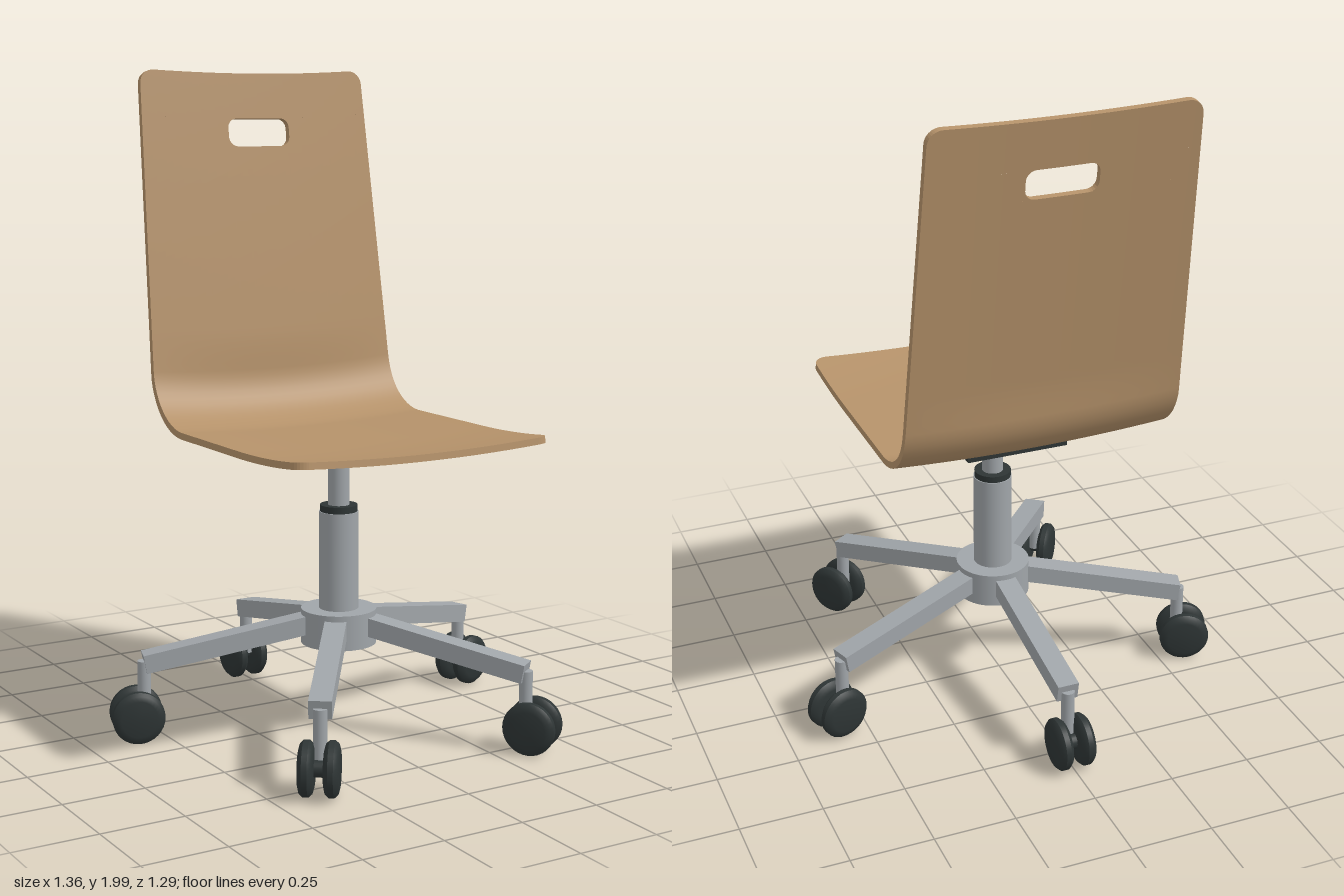
import * as THREE from 'three';
import { toCreasedNormals } from 'three/addons/utils/BufferGeometryUtils.js';

const mat = (name, color) => {
  const m = new THREE.MeshStandardMaterial({ color });
  m.name = name;
  return m;
};

const HALF_WIDTH = 0.425, TOP_WIDTH = 0.393, THICK = 0.02, CORNER = 0.045;
const TILT = THREE.MathUtils.degToRad(8.4);

// Side profile of the shell (z, y): front lip, flat seat, bend, straight back
function shellProfile() {
  const R = 0.2, v = (z, y) => new THREE.Vector2(z, y);
  const path = new THREE.CurvePath();
  path.add(new THREE.QuadraticBezierCurve(v(0.543, 0.931), v(0.38, 0.91), v(0.2, 0.91)));
  path.add(new THREE.LineCurve(v(0.2, 0.91), v(-0.15, 0.91)));
  path.add(new THREE.EllipseCurve(-0.15, 0.91 + R, R, R, Math.PI * 1.5, Math.PI + TILT, true));
  const end = v(-0.15 - R * Math.cos(TILT), 0.91 + R - R * Math.sin(TILT));
  path.add(new THREE.LineCurve(end, v(end.x - (1.998 - end.y) * Math.tan(TILT), 1.998)));
  return path;
}

function createShell(material) {
  const group = new THREE.Group();
  group.name = 'seatShell';
  const path = shellProfile(), total = path.getLength();
  const sOf = (y) => total - (1.998 - y) / Math.cos(TILT);

  // Middle surface, dished slightly across its width
  const surface = (x, s) => {
    const p = path.getPoint(THREE.MathUtils.clamp(s / total, 0, 1));
    const sag = 0.015 * (1 - (x / HALF_WIDTH) ** 2);
    return new THREE.Vector3(x, p.y - sag, p.x + sag * 0.87 * THREE.MathUtils.smoothstep(p.y, 0.95, 1.2));
  };
  const normal = (x, s) => {
    const e = 0.004;
    const dx = surface(x + e, s).sub(surface(x - e, s));
    const ds = surface(x, Math.min(s + e, total)).sub(surface(x, Math.max(s - e, 0)));
    return dx.cross(ds).normalize();
  };
  const round = (d, r) => (d >= r ? 0 : r - Math.sqrt(Math.max(0, r * r - (r - d) ** 2)));
  const taperStart = sOf(1.05);
  const width = (s) => {
    const t = Math.max(0, (s - taperStart) / (total - taperStart));
    return HALF_WIDTH + (TOP_WIDTH - HALF_WIDTH) * t - round(s, CORNER) - round(total - s, CORNER);
  };
  // Handle slot outline
  const h0 = sOf(1.772), h1 = sOf(1.858);
  const slot = (s) => 0.108 - round(Math.min(s - h0, h1 - s), 0.03);

  // Rows of s, closer together near both ends
  const rows = (a, b, n, ease) => Array.from({ length: n + 1 }, (_, i) => {
    const t = i / n;
    return a + (b - a) * (ease ? (1 - Math.cos(Math.PI * t)) / 2 : t);
  });

  // One solid patch between two side outlines
  function patch(name, sList, left, right, cols, endWalls) {
    const pos = [], nor = [];
    const tri = (list) => list.forEach(([p, n]) => { pos.push(...p.toArray()); nor.push(...n.toArray()); });
    const quad = (a, b, c, d) => tri([a, b, c, a, c, d]);
    const grid = sList.map((s) => Array.from({ length: cols + 1 }, (_, j) => {
      const x = left(s) + (right(s) - left(s)) * (j / cols);
      const n = normal(x, s), p = surface(x, s);
      return {
        up: [p.clone().addScaledVector(n, THICK / 2), n],
        down: [p.clone().addScaledVector(n, -THICK / 2), n.clone().negate()],
      };
    }));
    const wall = (a, b) => {
      const n = b.up[0].clone().sub(a.up[0]).cross(a.up[1]).normalize();
      quad([a.down[0], n], [b.down[0], n], [b.up[0], n], [a.up[0], n]);
    };
    const last = sList.length - 1;
    for (let i = 0; i < last; i++) {
      for (let j = 0; j < cols; j++) {
        const a = grid[i][j], b = grid[i][j + 1], c = grid[i + 1][j + 1], d = grid[i + 1][j];
        quad(a.up, b.up, c.up, d.up);
        quad(d.down, c.down, b.down, a.down);
      }
      wall(grid[i + 1][0], grid[i][0]);
      wall(grid[i][cols], grid[i + 1][cols]);
    }
    if (endWalls) for (let j = 0; j < cols; j++) {
      wall(grid[0][j], grid[0][j + 1]);
      wall(grid[last][j + 1], grid[last][j]);
    }
    const g = new THREE.BufferGeometry();
    g.setAttribute('position', new THREE.Float32BufferAttribute(pos, 3));
    g.setAttribute('normal', new THREE.Float32BufferAttribute(nor, 3));
    const mesh = new THREE.Mesh(g, material);
    mesh.name = name;
    group.add(mesh);
  }
  const neg = (f) => (s) => -f(s);
  const frontRows = rows(0, CORNER, 8).map((s) => s * s / CORNER);
  patch('seatAndBack', [...frontRows, ...rows(CORNER, h0, 70).slice(1)], neg(width), width, 16, true);
  patch('backBesideSlotRight', rows(h0, h1, 16, true), neg(width), neg(slot), 8, false);
  patch('backBesideSlotLeft', rows(h0, h1, 16, true), slot, width, 8, false);
  patch('backTop', rows(h1, total, 24, true), neg(width), width, 16, true);
  return group;
}

export function createModel() {
  const wood = mat('wood', 0xb5926a);
  const metal = mat('greyMetal', 0xa0a5a9);
  const dark = mat('darkPlastic', 0x2e3535);
  const model = new THREE.Group();
  model.name = 'swivelChair';
  model.add(createShell(wood));

  const add = (parent, name, geometry, material, x, y, z) => {
    const mesh = new THREE.Mesh(geometry, material);
    mesh.name = name;
    mesh.position.set(x, y, z);
    parent.add(mesh);
    return mesh;
  };
  const base = new THREE.Group();
  base.name = 'base';
  base.position.z = 0.053;
  model.add(base);

  // Upright parts, stacked from the hub to the mounting plate
  const upright = (name, r, y0, y1, m) =>
    add(base, name, new THREE.CylinderGeometry(r, r, y1 - y0, 40), m, 0, (y0 + y1) / 2, 0);
  upright('hub', 0.115, 0.268, 0.375, metal);
  upright('column', 0.06, 0.37, 0.675, metal);
  upright('collar', 0.057, 0.675, 0.695, dark);
  upright('piston', 0.033, 0.69, 0.85, metal);
  add(base, 'mountingPlate', new THREE.BoxGeometry(0.32, 0.036, 0.353), dark, 0, 0.863, -0.03);

  // Twin wheel profile, revolved about the axle
  const wheelProfile = [[0, -0.022], [0.055, -0.022], [0.07, -0.018], [0.079, -0.008],
    [0.079, 0.008], [0.07, 0.018], [0.055, 0.022], [0, 0.022]].map(([r, y]) => new THREE.Vector2(r, y));
  const wheelGeo = toCreasedNormals(new THREE.LatheGeometry(wheelProfile, 32), 0.6);
  wheelGeo.rotateZ(Math.PI / 2);
  const legGeo = new THREE.BoxGeometry(0.066, 0.056, 0.53);
  const stemGeo = new THREE.CylinderGeometry(0.02, 0.02, 0.16, 20);
  const axleGeo = new THREE.CylinderGeometry(0.024, 0.024, 0.04, 20).rotateZ(Math.PI / 2);

  // Five legs with casters, the first pointing straight back
  for (let i = 0; i < 5; i++) {
    const arm = new THREE.Group();
    arm.name = 'legWithCaster';
    arm.rotation.y = Math.PI + (i * Math.PI * 2) / 5;
    base.add(arm);
    add(arm, 'leg', legGeo, metal, 0, 0.288, 0.337).rotation.x = Math.atan(0.184);
    add(arm, 'casterStem', stemGeo, metal, 0, 0.165, 0.598);
    add(arm, 'casterAxle', axleGeo, dark, 0, 0.08, 0.62);
    for (const side of [-1, 1]) add(arm, 'casterWheel', wheelGeo, dark, side * 0.036, 0.08, 0.62);
  }
  return model;
}
